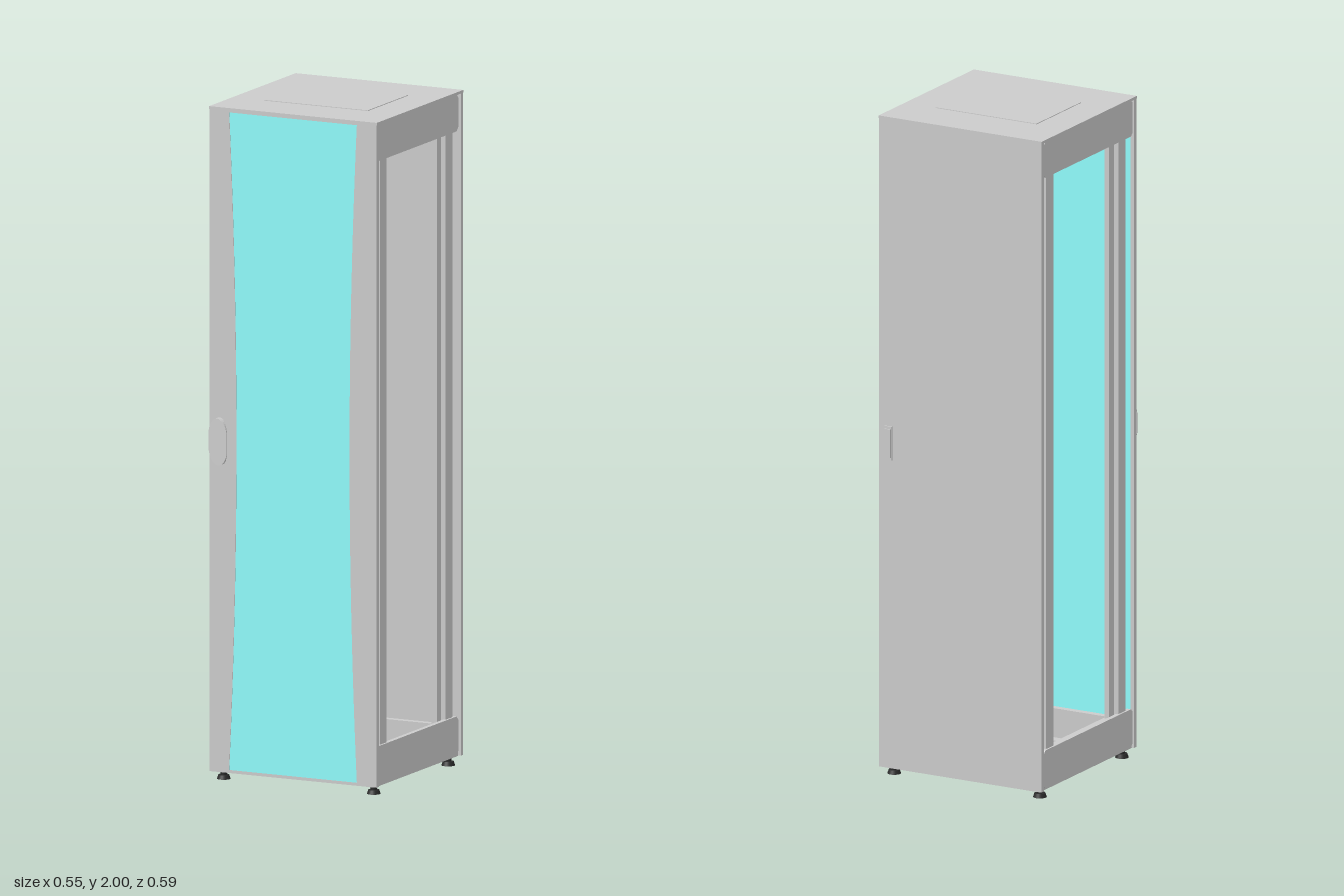
import * as THREE from 'three';

const grey = new THREE.MeshStandardMaterial({ color: 0xcccccc });
const glass = new THREE.MeshStandardMaterial({ color: 0x90fdfd });
const dark = new THREE.MeshStandardMaterial({ color: 0x2a2a2a });

function add(parent, name, geometry, material = grey) {
  const mesh = new THREE.Mesh(geometry, material);
  mesh.name = name;
  parent.add(mesh);
  return mesh;
}

// Box given by its limits on each axis
function box(parent, name, [x0, x1], [y0, y1], [z0, z1], material) {
  const mesh = add(parent, name, new THREE.BoxGeometry(x1 - x0, y1 - y0, z1 - z0), material);
  mesh.position.set((x0 + x1) / 2, (y0 + y1) / 2, (z0 + z1) / 2);
  return mesh;
}

const span = (s, a, b) => (s > 0 ? [a, b] : [-b, -a]);

// Side beam plate with chamfered corners, facing x
function sideBeam(parent, name, s, y0, y1) {
  const c = 0.012, a = -0.25, b = 0.27;
  const shape = new THREE.Shape([
    [a + c, y0], [b - c, y0], [b, y0 + c], [b, y1 - c],
    [b - c, y1], [a + c, y1], [a, y1 - c], [a, y0 + c],
  ].map(([x, y]) => new THREE.Vector2(x, y)));
  const geo = new THREE.ExtrudeGeometry(shape, { depth: 0.014, bevelEnabled: false });
  geo.rotateY(Math.PI / 2);
  add(parent, name, geo).position.x = s > 0 ? 0.254 : -0.268;
}

function frame() {
  const g = new THREE.Group();
  g.name = 'frame';
  for (const s of [1, -1]) {
    // Side beams with inward ledges
    sideBeam(g, 'upperSideBeam', s, 1.88, 1.99);
    sideBeam(g, 'lowerSideBeam', s, 0.03, 0.145);
    box(g, 'upperSideLedge', span(s, 0.21, 0.255), [1.9, 1.91], [-0.24, 0.21]);
    box(g, 'lowerSideLedge', span(s, 0.21, 0.255), [0.115, 0.125], [-0.24, 0.21]);
    // Folded corner posts: outer plate, web and stepped inner rail
    for (const [outer, inner] of [[0.217, 0.148], [-0.243, -0.175]]) {
      const d = Math.sign(outer);
      const zs = (a, b) => [Math.min(a, b), Math.max(a, b)];
      box(g, 'postOuterPlate', span(s, 0.248, 0.262), [0.05, 1.95], zs(outer, outer - d * 0.042));
      box(g, 'postWeb', span(s, 0.215, 0.25), [0.05, 1.95], zs(outer - d * 0.03, outer - d * 0.042));
      box(g, 'postInnerRail', span(s, 0.235, 0.247), [0.05, 1.95], zs(outer - d * 0.04, inner));
    }
  }
  // Cross beams behind both doors
  for (const z of [[0.195, 0.215], [-0.24, -0.22]]) {
    box(g, 'upperCrossBeam', [-0.255, 0.255], [1.89, 1.985], z);
    box(g, 'lowerCrossBeam', [-0.255, 0.255], [0.03, 0.125], z);
  }
  for (const z of [[0.15, 0.2], [-0.225, -0.18]]) {
    box(g, 'upperCrossLedge', [-0.215, 0.215], [1.9, 1.908], z);
  }
  return g;
}

// Floor plate with a large cable opening
function floor(parent) {
  const rect = (P, x0, x1, z0, z1) => new P([[x0, z0], [x1, z0], [x1, z1], [x0, z1]]
    .map(([x, z]) => new THREE.Vector2(x, -z)));
  const shape = rect(THREE.Shape, -0.265, 0.265, 0.248, -0.272);
  shape.holes.push(rect(THREE.Path, -0.19, 0.19, 0.165, -0.21));
  const geo = new THREE.ExtrudeGeometry(shape, { depth: 0.012, bevelEnabled: false });
  geo.rotateX(-Math.PI / 2);
  add(parent, 'floorFrame', geo).position.y = 0.025;
}

// Wedge-shaped handle rising towards the middle of the door
function handle(parent) {
  const s = new THREE.Shape();
  s.moveTo(-0.275, -0.03);
  s.quadraticCurveTo(-0.265, -0.068, -0.238, -0.07);
  s.quadraticCurveTo(-0.206, -0.064, -0.2, -0.03);
  s.lineTo(-0.2, 0.03);
  s.quadraticCurveTo(-0.206, 0.064, -0.238, 0.07);
  s.quadraticCurveTo(-0.265, 0.068, -0.275, 0.03);
  const geo = new THREE.ExtrudeGeometry(s, { depth: 1, bevelEnabled: false, curveSegments: 8 });
  const p = geo.attributes.position;
  for (let i = 0; i < p.count; i++) {
    const x = p.getX(i);
    const front = 0.263 + (x + 0.275) * 0.43;
    const back = 0.262 + Math.max(0, x + 0.23) * 1.0;
    p.setZ(i, p.getZ(i) > 0.5 ? front : Math.min(back, front));
  }
  geo.computeVertexNormals();
  add(parent, 'handle', geo).position.y = 1.008;
}

function frontDoor() {
  const g = new THREE.Group();
  g.name = 'frontDoor';
  box(g, 'glassPane', [-0.262, 0.262], [0.035, 1.985], [0.25, 0.2605], glass);
  box(g, 'doorTopEdge', [-0.273, 0.273], [1.985, 1.992], [0.247, 0.261]);
  box(g, 'doorBottomEdge', [-0.273, 0.273], [0.026, 0.035], [0.247, 0.261]);
  for (const s of [1, -1]) {
    box(g, 'doorSideEdge', span(s, 0.261, 0.273), [0.035, 1.985], [0.247, 0.261]);
    // Side strip bowing inward at mid height
    const strip = new THREE.Shape();
    strip.moveTo(s * 0.273, 0.03);
    strip.lineTo(s * 0.273, 1.99);
    strip.lineTo(s * 0.209, 1.99);
    strip.quadraticCurveTo(s * 0.161, 1.01, s * 0.209, 0.03);
    add(g, 'bowedStrip', new THREE.ExtrudeGeometry(strip,
      { depth: 0.0015, bevelEnabled: false, curveSegments: 24 })).position.z = 0.2605;
  }
  handle(g);
  return g;
}

function backDoor() {
  const g = new THREE.Group();
  g.name = 'backDoor';
  box(g, 'backPanel', [-0.273, 0.273], [0.026, 1.992], [-0.29, -0.276]);
  box(g, 'latchPlate', [0.228, 0.254], [0.96, 1.062], [-0.294, -0.289]);
  box(g, 'latchLever', [0.231, 0.254], [0.968, 1.054], [-0.297, -0.293]);
  return g;
}

export function createModel() {
  const model = new THREE.Group();
  model.name = 'cabinet';
  model.add(frame(), frontDoor(), backDoor());
  floor(model);

  // Roof with a thin raised cover
  box(model, 'roof', [-0.274, 0.274], [1.99, 1.998], [-0.29, 0.262]);
  box(model, 'roofCover', [-0.17, 0.17], [1.996, 2.0], [-0.14, 0.116]);

  // Levelling feet
  for (const x of [-0.245, 0.245]) {
    for (const z of [-0.25, 0.225]) {
      const pad = add(model, 'footPad', new THREE.CylinderGeometry(0.016, 0.02, 0.012, 24), dark);
      pad.position.set(x, 0.006, z);
      const stem = add(model, 'footStem', new THREE.CylinderGeometry(0.009, 0.009, 0.018, 16), dark);
      stem.position.set(x, 0.019, z);
    }
  }
  return model;
}
